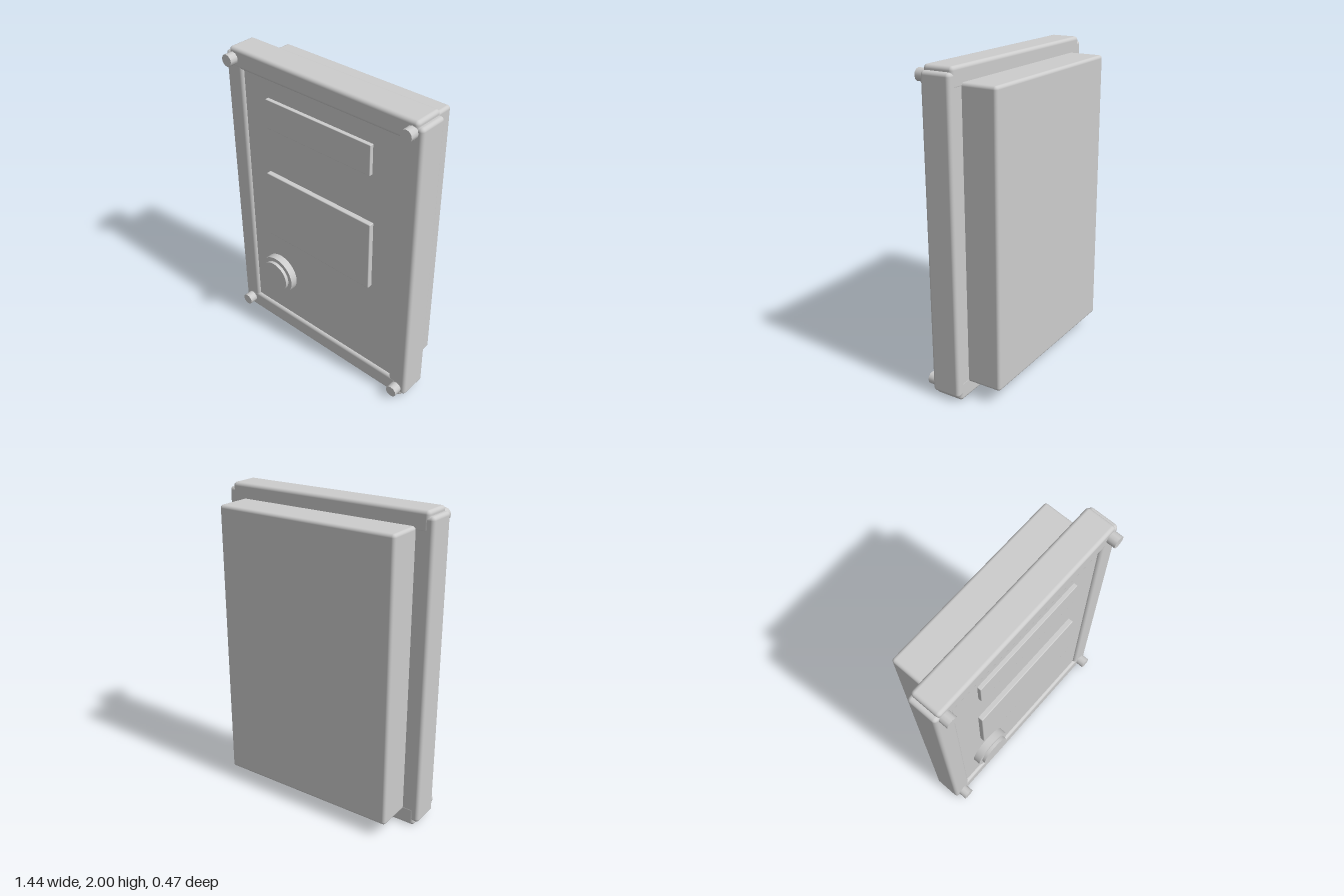
import * as THREE from 'three';
import { RoundedBoxGeometry } from 'three/addons/geometries/RoundedBoxGeometry.js';

export function createModel() {
  const model = new THREE.Group();
  model.name = 'wallCabinet';
  const grey = new THREE.MeshStandardMaterial({ color: 0xcccccc });
  grey.name = 'lightGrey';

  const add = (name, geometry, x, y, z) => {
    const mesh = new THREE.Mesh(geometry, grey);
    mesh.name = name;
    mesh.position.set(x, y, z);
    model.add(mesh);
    return mesh;
  };

  // Rounded block given by its limits on each axis
  const block = (name, [x0, x1], [y0, y1], [z0, z1], radius) =>
    add(name, new RoundedBoxGeometry(x1 - x0, y1 - y0, z1 - z0, 4, radius),
      (x0 + x1) / 2, (y0 + y1) / 2, (z0 + z1) / 2);

  // Disc facing the front, from z0 to z1
  const disc = (name, x, y, z0, z1, radius, sides) => {
    const geometry = new THREE.CylinderGeometry(radius, radius, z1 - z0, sides);
    geometry.rotateX(Math.PI / 2);
    return add(name, geometry, x, y, (z0 + z1) / 2);
  };

  // Housing; its front face is the recessed panel
  block('housing', [-0.61, 0.61], [0.093, 1.907], [-0.232, 0.16], 0.02);

  // Surrounding frame bars
  block('leftFrameBar', [0.59, 0.72], [0.03, 1.97], [-0.012, 0.179], 0.022);
  block('rightFrameBar', [-0.72, -0.59], [0.03, 1.97], [-0.012, 0.179], 0.022);
  block('topFrameBar', [-0.69, 0.69], [1.873, 2], [-0.013, 0.18], 0.022);
  block('bottomFrameBar', [-0.69, 0.69], [0, 0.127], [-0.013, 0.18], 0.022);

  // Raised plates on the panel
  block('namePlate', [-0.4, 0.395], [1.56, 1.755], [0.14, 0.184], 0.004);
  block('displayPlate', [-0.417, 0.413], [0.768, 1.24], [0.14, 0.192], 0.006);

  // Round knob with a narrower cap
  disc('knobBase', -0.36, 0.45, 0.15, 0.21, 0.137, 48);
  disc('knobCap', -0.36, 0.45, 0.2, 0.232, 0.108, 48);

  // Corner bolts
  for (const x of [-0.655, 0.655])
    for (const y of [0.07, 1.935]) disc('cornerBolt', x, y, 0.15, 0.234, 0.038, 12);

  return model;
}
